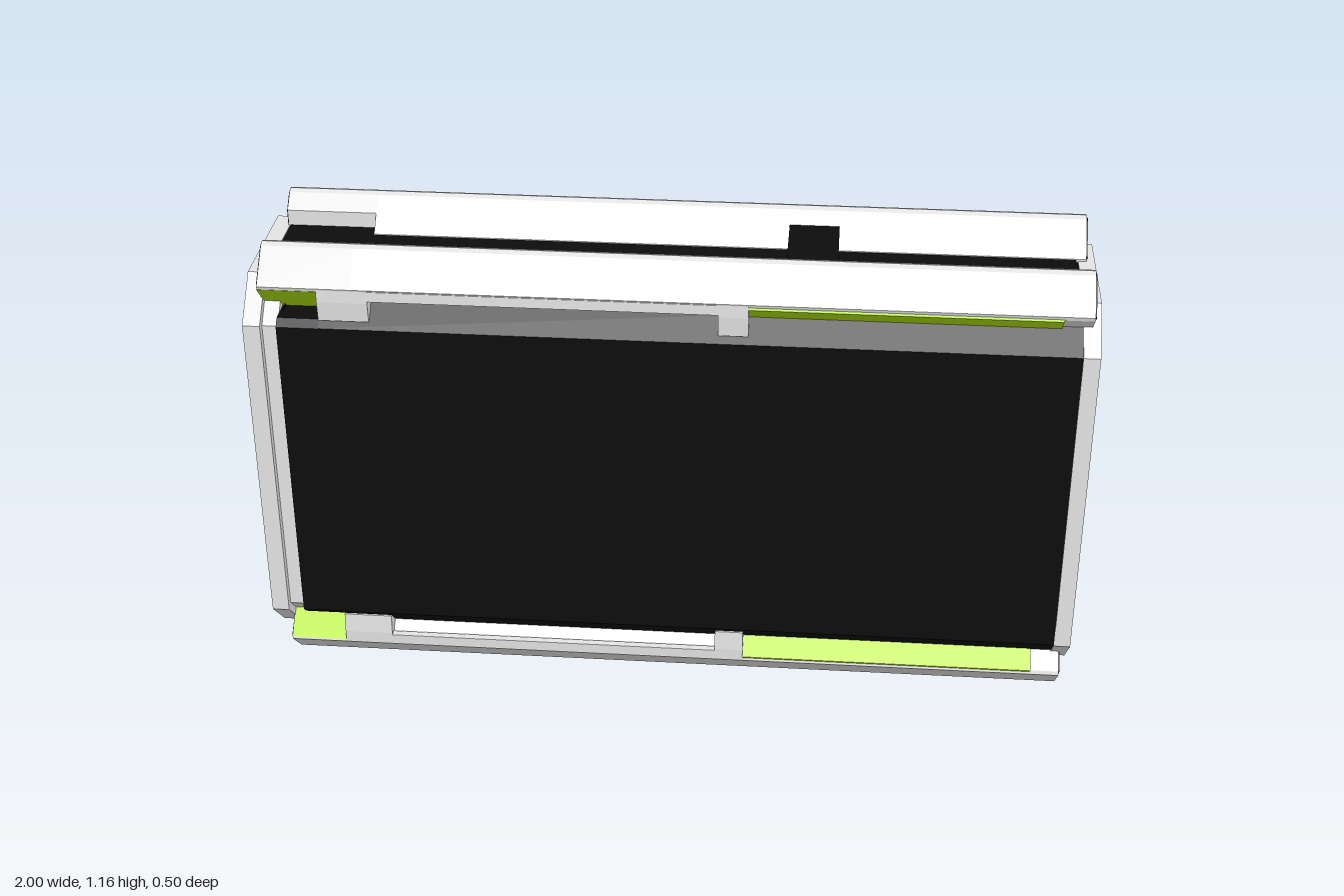
import * as THREE from 'three';

const HEIGHT = 1.16;

const mat = (name, color, side = THREE.FrontSide) => {
  const m = new THREE.MeshStandardMaterial({ color, side });
  m.name = name;
  return m;
};

// Shape from [z, y] points, to be stood across the x axis
const toShape = (pts) => new THREE.Shape(pts.map(([z, y]) => new THREE.Vector2(-z, y)));

// Solid running along x from a [z, y] profile, with an optional hole
function prism(pts, x0, x1, hole) {
  const shape = toShape(pts);
  if (hole) shape.holes.push(toShape(hole));
  const g = new THREE.ExtrudeGeometry(shape, { depth: x1 - x0, bevelEnabled: false });
  return g.rotateY(Math.PI / 2).translate(x0, 0, 0);
}

// The same solid without its two end caps
function sleeve(pts, x0, x1) {
  const full = prism(pts, x0, x1);
  const start = full.groups[1].start;
  const g = new THREE.BufferGeometry();
  for (const key of ['position', 'normal']) {
    g.setAttribute(key, new THREE.BufferAttribute(full.attributes[key].array.slice(start * 3), 3));
  }
  return g;
}

// Repeat one upper +z corner around the whole closed section
function ringOf(corner) {
  const back = corner.map(([z, y]) => [-z, y]).reverse();
  const upper = [...corner, ...back];
  const lower = upper.map(([z, y]) => [z, HEIGHT - y]).reverse();
  return [...upper, ...lower];
}

// Chamfered rectangle, inset by d from the frame outline
const octagon = (d) => ringOf([[0.25 - d, 0.985 - d * 0.41], [0.155 - d * 0.41, 1.08 - d]]);

export function createModel() {
  const root = new THREE.Group();
  root.name = 'container';
  const shell = mat('light grey shell', 0xe4e4e4);
  const black = mat('black panel', 0x0d0d0d);
  const green = mat('lime accent', 0xb0e310);

  const add = (name, geometry, material, parent = root) => {
    const mesh = new THREE.Mesh(geometry, material);
    mesh.name = name;
    parent.add(mesh);
    return mesh;
  };

  // Hollow body, with a notched section beside the open end
  add('bodyShell', sleeve(octagon(0.003), -0.82, 0.96), black);
  const notched = ringOf([[0.247, 0.983], [0.23, 1.0], [0.165, 1.0], [0.145, 1.077]]);
  add('bodyNeck', sleeve(notched, -0.92, -0.82), black);
  add('bodyRim', prism(ringOf([[0.246, 0.982], [0.229, 0.999], [0.164, 0.999], [0.145, 1.0]]),
    -0.921, -0.912, octagon(0.05)), black);

  // Inner bulkhead facing the open end
  const bulkhead = new THREE.ShapeGeometry(toShape(octagon(0.01)));
  add('bulkhead', bulkhead.rotateY(-Math.PI / 2).translate(-0.76, 0, 0), black);

  // End frames
  add('openFrame', prism(octagon(0), -1, -0.958, octagon(0.045)), shell);
  add('openFrameCollar', prism(octagon(0.02), -0.958, -0.92, octagon(0.045)), shell);
  add('endFrame', prism(octagon(0), 0.96, 1, octagon(0.024)), shell);

  // Closed end panel with low diagonal ribs
  const panel = new THREE.ShapeGeometry(toShape(octagon(0.02)));
  add('endPanel', panel.rotateY(Math.PI / 2).translate(0.985, 0, 0), black);
  const ribs = new THREE.Group();
  ribs.name = 'panelRibs';
  root.add(ribs);
  const ribLines = [
    [-0.18, 0.97, 0.19, 0.61], [0.19, 0.61, 0.19, 0.55], [0.19, 0.55, -0.18, 0.2],
    [0.19, 0.4, -0.08, 0.15], [0.19, 0.4, 0.19, 0.21], [0.19, 0.21, 0.13, 0.15],
    [0.13, 0.15, -0.08, 0.15], [0.19, 0.76, -0.08, 1.02], [0.19, 0.76, 0.19, 0.96],
    [0.19, 0.96, 0.13, 1.02], [0.13, 1.02, -0.08, 1.02], [-0.18, 0.97, -0.18, 0.2],
  ];
  for (const [z0, y0, z1, y1] of ribLines) {
    const rib = add('panelRib',
      new THREE.BoxGeometry(0.008, 0.012, Math.hypot(z1 - z0, y1 - y0)), black, ribs);
    rib.position.set(0.985, (y0 + y1) / 2, (z0 + z1) / 2);
    rib.rotation.x = -Math.atan2(y1 - y0, z1 - z0);
  }

  // Edge rail profiles, [z, y]
  const outer = [[0.19, 1.033], [0.235, 1.073], [0.238, 1.083], [0.165, 1.155],
    [0.15, 1.16], [0.135, 1.155]];
  const railProfile = [...outer, [0.06, 1.085], [0.06, 1.06]];
  const cutProfile = [...outer, [0.1, 1.122], [0.1, 1.06]];
  const capProfile = [[0.185, 1.04], [0.227, 1.077], [0.228, 1.082], [0.161, 1.148],
    [0.15, 1.152], [0.139, 1.148], [0.074, 1.085], [0.074, 1.066]];
  const cutCap = [...capProfile.slice(0, 6), [0.108, 1.118], [0.108, 1.06]];
  const accent = [[0.237, 1.076], [0.188, 1.032], [0.192, 1.027], [0.24, 1.071]];
  const deepAccent = [[0.239, 1.076], [0.155, 1.045], [0.163, 1.0], [0.166, 1.0]];
  const leg = [[0.239, 1.08], [0.24, 1.05], [0.236, 1.0], [0.222, 1.0], [0.19, 1.033]];
  const lip = [[0.239, 1.08], [0.24, 1.055], [0.222, 1.055], [0.2, 1.08]];

  for (const top of [true, false]) {
    const level = top ? 'upper' : 'lower';
    const flipY = (y) => (top ? y : HEIGHT - y);

    for (const side of [1, -1]) {
      const rail = new THREE.Group();
      rail.name = `${level}${side > 0 ? 'Front' : 'Back'}Rail`;
      root.add(rail);
      const part = (name, pts, x0, x1, material) =>
        add(name, prism(pts.map(([z, y]) => [z * side, flipY(y)]), x0, x1), material, rail);

      part('rail', railProfile, -0.74, 0.98, shell);
      part('railCutEnd', cutProfile, -0.96, -0.74, shell);
      part('railCap', capProfile, 0.978, 0.983, black);
      part('railCutCap', cutCap, -0.963, -0.958, black);
      // Lime undersides
      part('longAccent', accent, 0.19, 0.91, green);
      part('shortAccent', deepAccent, -0.96, -0.82, green);
      // Handle slot bracket
      part('handleLeg', leg, -0.82, -0.7, shell);
      part('handleLeg', leg, 0.12, 0.19, shell);
      part('handleLip', lip, -0.7, 0.12, shell);
    }

    // Channel between the rails
    const block = (name, x0, x1, y0, y1, w) => {
      const b = add(name, new THREE.BoxGeometry(x1 - x0, y1 - y0, w), black);
      b.position.set((x0 + x1) / 2, flipY((y0 + y1) / 2), 0);
    };
    block(`${level}Channel`, -0.74, 0.955, 1.06, 1.083, 0.122);
    block(`${level}EndFloor`, -0.955, -0.74, 1.06, 1.083, 0.2);
    block(`${level}Latch`, 0.27, 0.39, 1.06, 1.13, 0.2);
  }

  return root;
}
